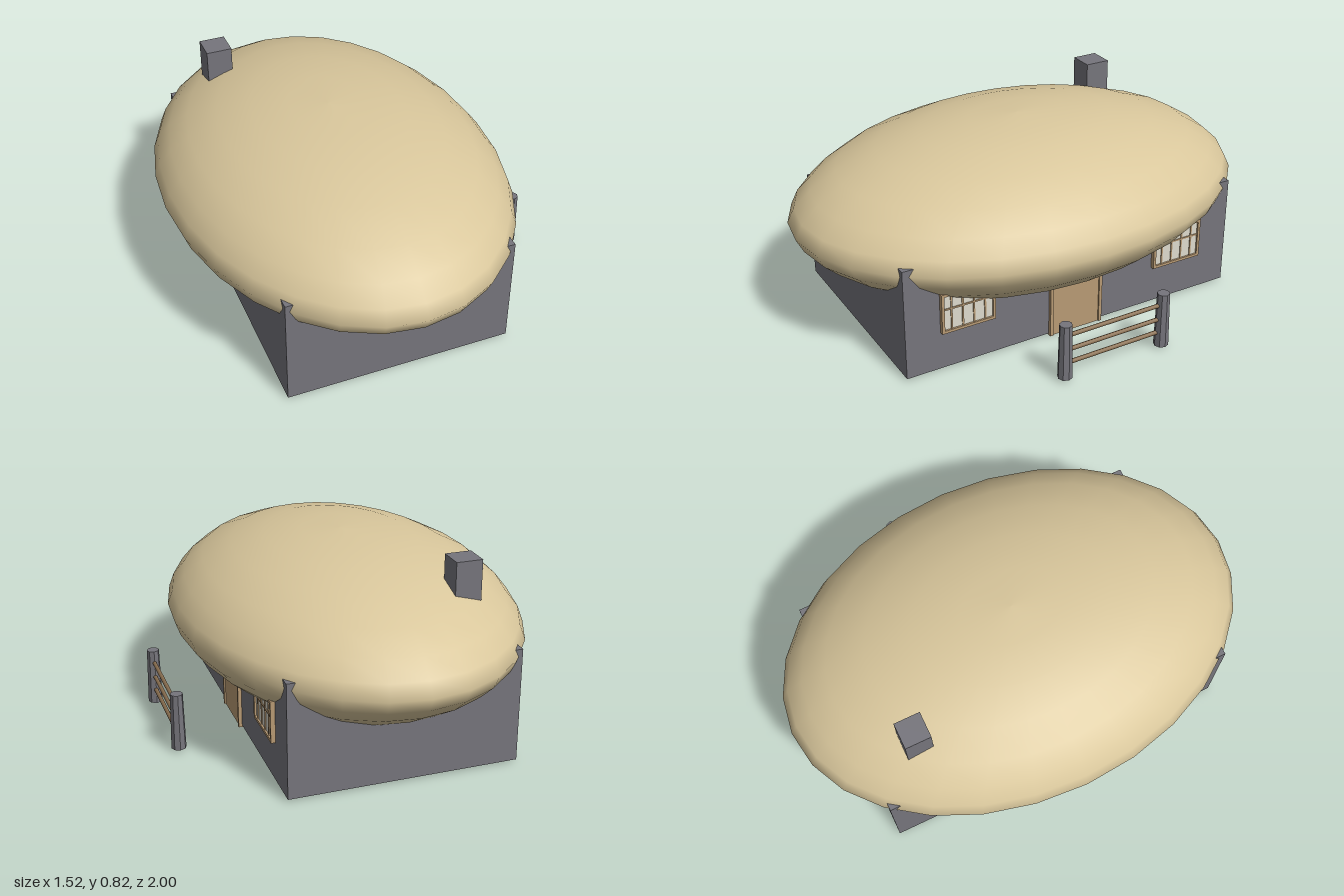
import * as THREE from 'three';

const mat = (color, flatShading = false) => new THREE.MeshStandardMaterial({ color, flatShading });

export function createModel() {
  const model = new THREE.Group();
  const stone = mat(0x76757c, true);
  const thatch = mat(0xd9c79c);
  const wood = mat(0xb89a74);
  const darkWood = mat(0x8a6f50);
  const glass = mat(0xdedbcd);

  const add = (parent, name, geometry, material, x, y, z) => {
    const mesh = new THREE.Mesh(geometry, material);
    mesh.name = name;
    mesh.position.set(x, y, z);
    parent.add(mesh);
    return mesh;
  };
  const box = (parent, name, material, [w, h, d], [x, y, z]) =>
    add(parent, name, new THREE.BoxGeometry(w, h, d), material, x, y, z);

  // Walls: the four top corners poke out past the roof rim
  box(model, 'walls', stone, [0.953, 0.48, 1.53], [-0.045, 0.25, 0]);
  box(model, 'chimney', stone, [0.11, 0.4, 0.11], [-0.35, 0.62, -0.565]);

  // Domed oval roof, turned as a circle and squeezed in x
  const half = [[0.97, 0.06], [0.9, 0.125], [0.79, 0.195], [0.62, 0.258], [0.43, 0.302], [0.22, 0.328], [0, 0.335]];
  const profile = [
    ...half.map(([r, y]) => new THREE.Vector2(r, -y * 0.99)).reverse(),
    new THREE.Vector2(1, 0),
    ...half.map(([r, y]) => new THREE.Vector2(r, y)),
  ];
  const roof = new THREE.LatheGeometry(profile, 28);
  roof.scale(0.715, 1, 1);
  add(model, 'roof', roof, thatch, -0.046, 0.46, 0);

  // Door with a thin frame
  const door = new THREE.Group();
  door.name = 'door';
  box(door, 'doorPanel', wood, [0.02, 0.24, 0.22], [0.43, 0.122, 0]);
  for (const s of [-1, 1]) box(door, 'doorJamb', wood, [0.025, 0.25, 0.014], [0.434, 0.128, s * 0.117]);
  box(door, 'doorLintel', wood, [0.025, 0.014, 0.22], [0.434, 0.246, 0]);
  model.add(door);

  // Barred windows on both sides of the door
  for (const s of [-1, 1]) {
    const win = new THREE.Group();
    win.name = 'window';
    box(win, 'pane', glass, [0.014, 0.17, 0.22], [0, 0, 0]);
    for (const t of [-1, 1]) {
      box(win, 'frameSide', wood, [0.024, 0.176, 0.012], [0.003, 0, t * 0.112]);
      box(win, 'frameRail', wood, [0.024, 0.012, 0.236], [0.003, t * 0.082, 0]);
    }
    for (let i = -1.5; i <= 1.5; i++) box(win, 'bar', wood, [0.018, 0.16, 0.007], [0.002, 0, i * 0.049]);
    box(win, 'crossBar', wood, [0.018, 0.007, 0.22], [0.002, 0.016, 0]);
    win.position.set(0.435, 0.264, s * 0.497);
    model.add(win);
  }

  // Fence: two tapered stone posts and three rails
  const fence = new THREE.Group();
  fence.name = 'fence';
  for (const s of [-1, 1])
    add(fence, 'fencePost', new THREE.CylinderGeometry(0.026, 0.031, 0.24, 8), stone, 0.726, 0.133, s * 0.228);
  for (const y of [0.075, 0.135, 0.2])
    add(fence, 'fenceRail', new THREE.CylinderGeometry(0.009, 0.009, 0.45, 8), darkWood, 0.726, y, 0).rotation.x = Math.PI / 2;
  model.add(fence);

  return model;
}
